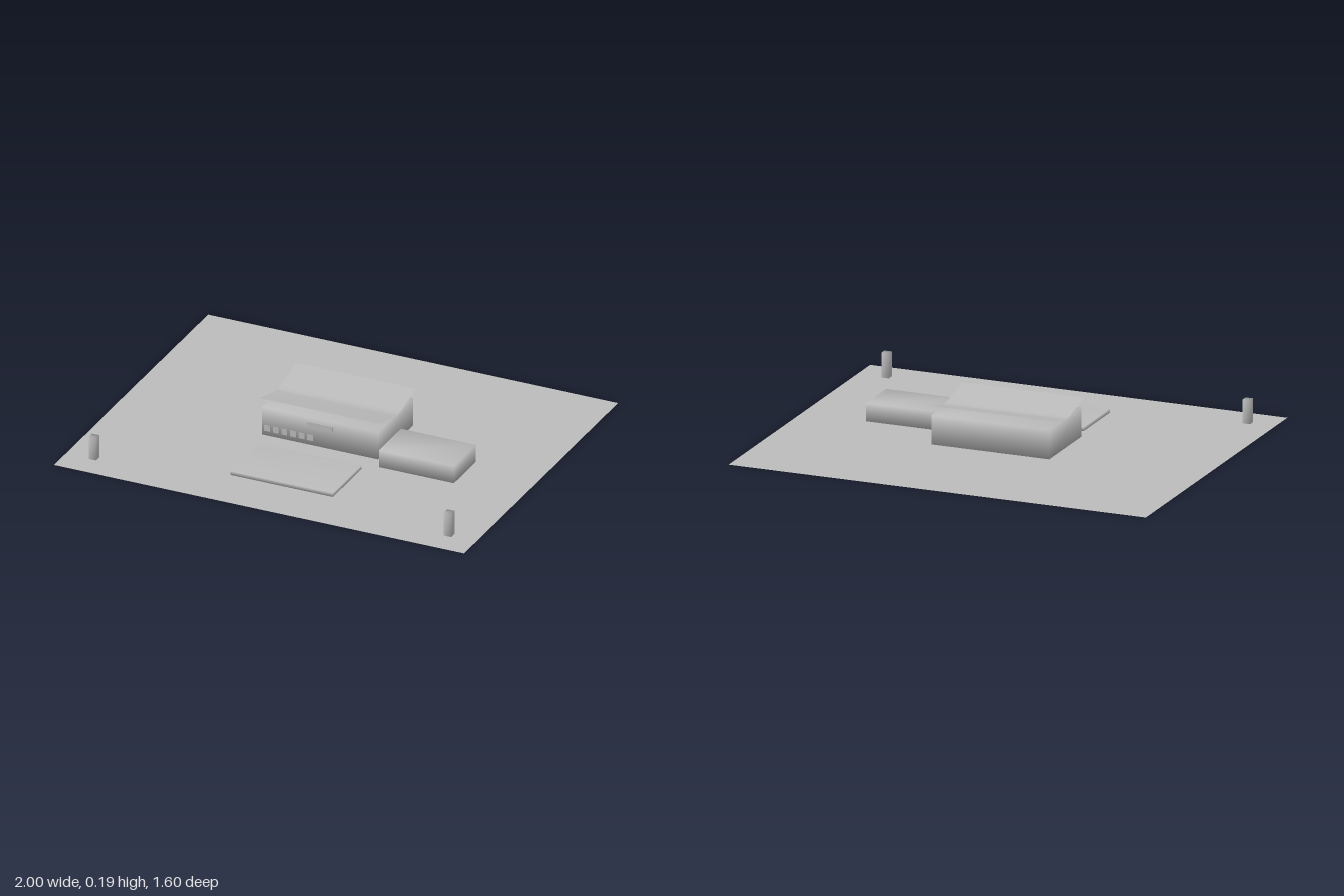
import * as THREE from 'three';
import { mergeVertices } from 'three/addons/utils/BufferGeometryUtils.js';

const stone = new THREE.MeshStandardMaterial({ name: 'paleGrey', color: 0xbbbbbb });
const sheet = new THREE.MeshStandardMaterial({ name: 'paleGreySheet', color: 0xbbbbbb, side: THREE.DoubleSide });

// Box given by its limits; soft boxes share their corner normals.
function box(name, [x0, x1], [y0, y1], [z0, z1], soft = true) {
  let g = new THREE.BoxGeometry(x1 - x0, y1 - y0, z1 - z0);
  if (soft) {
    g.deleteAttribute('normal');
    g.deleteAttribute('uv');
    g = mergeVertices(g);
    g.computeVertexNormals();
  }
  const m = new THREE.Mesh(g, stone);
  m.name = name;
  m.position.set((x0 + x1) / 2, (y0 + y1) / 2, (z0 + z1) / 2);
  return m;
}

// Thin sheet swept along x from a z,y profile
function roofSheet(x0, x1, profile) {
  const n = profile.length - 1;
  const g = new THREE.PlaneGeometry(1, 1, 1, n);
  const p = g.attributes.position;
  for (let i = 0; i <= n; i++) {
    const [z, y] = profile[i];
    p.setXYZ(i * 2, x0, y, z);
    p.setXYZ(i * 2 + 1, x1, y, z);
  }
  g.computeVertexNormals();
  const m = new THREE.Mesh(g, sheet);
  m.name = 'butterflyRoof';
  return m;
}

export function createModel() {
  const model = new THREE.Group();
  model.name = 'buildingOnPlot';

  // Plot
  const ground = new THREE.Mesh(new THREE.PlaneGeometry(2, 1.6).rotateX(-Math.PI / 2), sheet);
  ground.name = 'ground';
  model.add(ground);

  // Buildings and front terrace
  model.add(
    box('mainBuilding', [-0.285, 0.28], [0.01, 0.145], [-0.205, 0.16]),
    box('sideAnnex', [0.315, 0.68], [0.01, 0.094], [-0.003, 0.225]),
    box('terrace', [-0.252, 0.247], [0.002, 0.021], [0.26, 0.558])
  );

  // V-shaped roof with a softened valley
  model.add(roofSheet(-0.295, 0.29, [
    [-0.212, 0.19], [-0.06, 0.152], [-0.03, 0.147], [0, 0.151], [0.165, 0.19]
  ]));

  // Front wall details
  model.add(box('signPanel', [-0.065, 0.06], [0.095, 0.124], [0.158, 0.164], false));
  for (let i = 0; i < 6; i++) {
    const x = -0.274 + i * 0.042;
    model.add(box('window' + (i + 1), [x, x + 0.028], [0.032, 0.06], [0.158, 0.162], false));
  }

  // Gate posts
  model.add(
    box('rightGatePost', [-0.886, -0.85], [0, 0.11], [0.648, 0.682]),
    box('leftGatePost', [0.846, 0.882], [0, 0.115], [0.648, 0.682])
  );
  return model;
}
